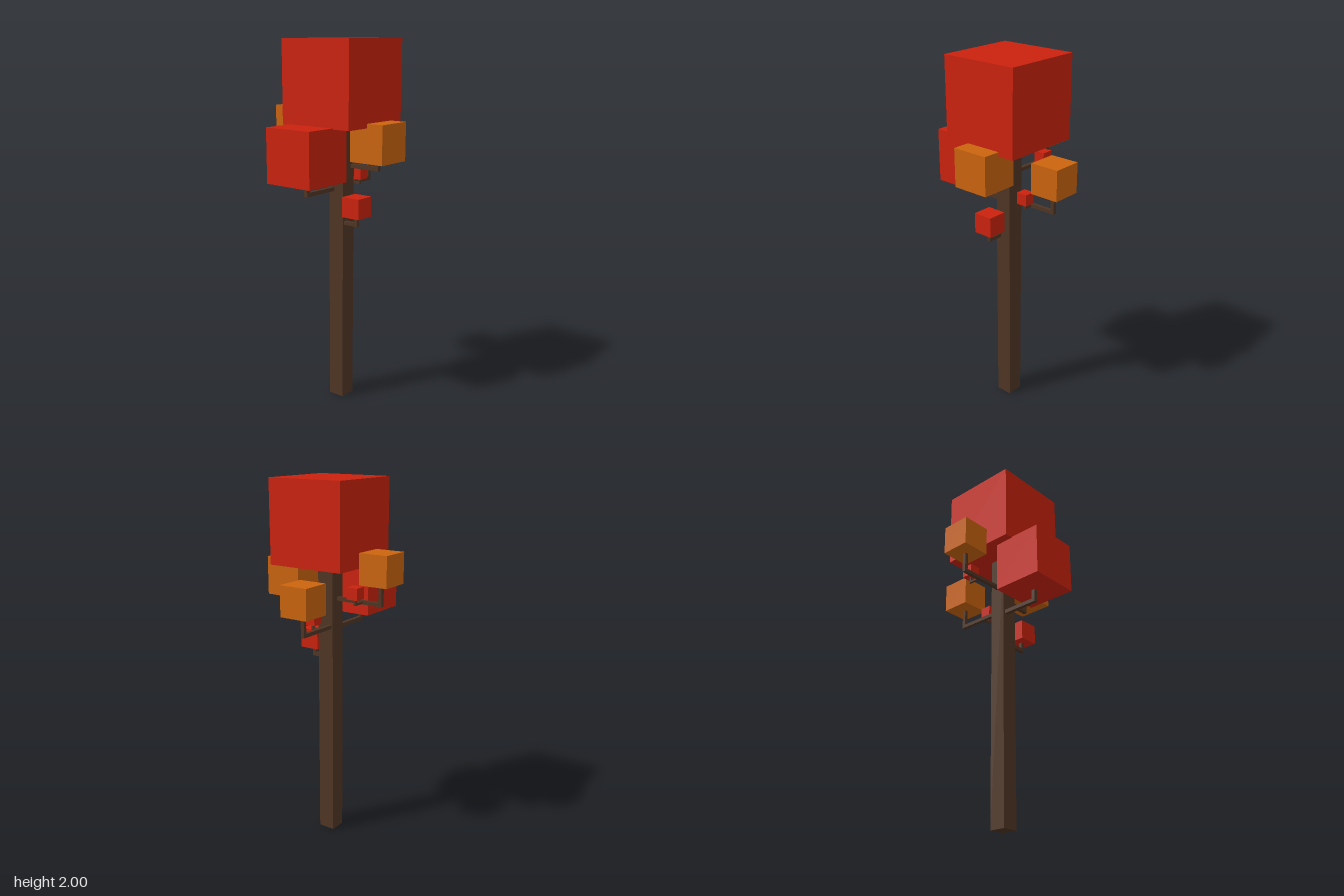
import * as THREE from 'three';

export function createModel() {
  const model = new THREE.Group();
  model.name = 'blockTree';
  const material = (name, color) => {
    const m = new THREE.MeshStandardMaterial({ color });
    m.name = name;
    return m;
  };
  const bark = material('bark', 0x4f3524);
  const red = material('redLeaves', 0xcb220e);
  const orange = material('orangeLeaves', 0xcb640e);

  // Box spanning two opposite corners
  const span = (name, a, b, mat, parent = model) => {
    const size = a.map((v, i) => Math.abs(b[i] - v));
    const mesh = new THREE.Mesh(new THREE.BoxGeometry(...size), mat);
    mesh.position.set(...a.map((v, i) => (v + b[i]) / 2));
    mesh.name = name;
    parent.add(mesh);
  };
  const cube = (name, c, s, mat, parent) =>
    span(name, c.map(v => v - s / 2), c.map(v => v + s / 2), mat, parent);

  // Square bar along one axis between two points, padded by half its thickness
  const bar = (name, p, q, t, parent) =>
    span(name, p.map((v, i) => Math.min(v, q[i]) - t / 2),
      p.map((v, i) => Math.max(v, q[i]) + t / 2), bark, parent);

  // Trunk and crown
  const tx = 0.038, tz = -0.02;
  span('trunk', [tx - 0.047, 0, tz - 0.046], [tx + 0.047, 1.6, tz + 0.046], bark);
  cube('crown', [0.04, 1.7775, -0.02], 0.445, red);

  // Elbow branch: a level arm from start, then a stem up into a leaf cube
  const branch = (name, start, leaf, size, t, mat) => {
    const group = new THREE.Group();
    group.name = name;
    const elbow = [leaf[0], start[1], leaf[2]];
    bar('arm', start, elbow, t, group);
    bar('stem', elbow, [leaf[0], leaf[1] - size / 2, leaf[2]], t, group);
    cube('leafCube', leaf, size, mat, group);
    model.add(group);
  };
  branch('frontBranch', [0.013, 1.207, tz], [0.013, 1.415, 0.234], 0.291, 0.022, red);
  branch('backBranch', [0.008, 1.22, tz], [0.008, 1.407, -0.297], 0.165, 0.02, orange);
  branch('leftBranch', [tx, 1.332, -0.049], [0.257, 1.475, -0.049], 0.206, 0.021, orange);
  branch('rightBranch', [tx, 1.368, -0.014], [-0.278, 1.557, -0.014], 0.165, 0.02, orange);
  branch('lowBranch', [tx, 1.026, 0.006], [0.163, 1.125, 0.006], 0.11, 0.02, red);

  // Small twigs growing sideways off two branches
  branch('rightTwig', [-0.165, 1.368, -0.014], [-0.165, 1.428, -0.082], 0.064, 0.012, red);
  branch('backTwig', [0.008, 1.22, -0.15], [0.058, 1.275, -0.15], 0.062, 0.012, red);

  return model;
}
